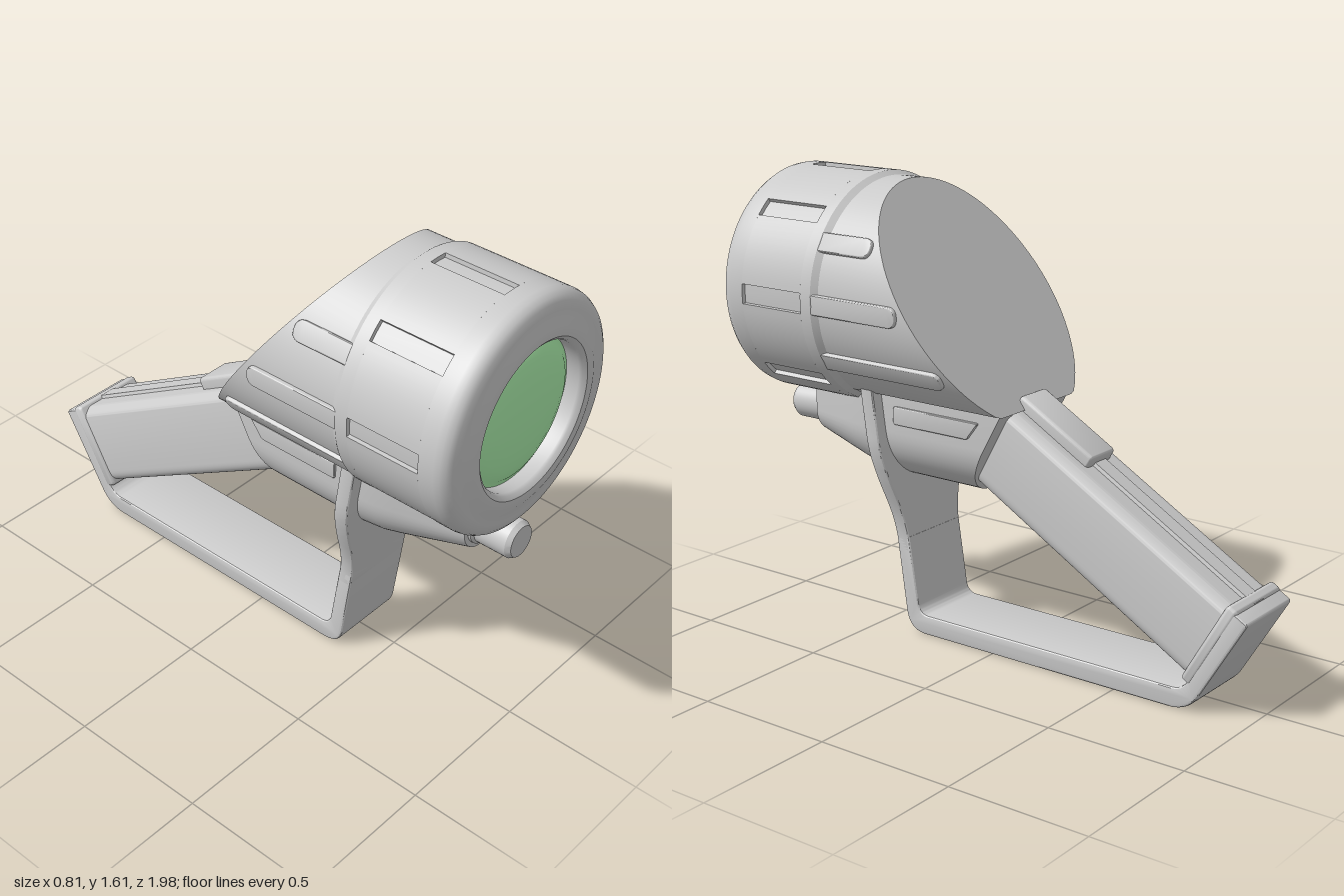
import * as THREE from 'three';
import { toCreasedNormals } from 'three/addons/utils/BufferGeometryUtils.js';
import { RoundedBoxGeometry } from 'three/addons/geometries/RoundedBoxGeometry.js';

const AXIS_Y = 1.2; // height of the lamp axis
const grey = new THREE.MeshStandardMaterial({ color: 0xcccccc });
const green = new THREE.MeshStandardMaterial({ color: 0xb0f5b0 });
const V = (x, y) => new THREE.Vector2(x, y);

function part(name, geometry, material = grey, crease = 0.5) {
  const mesh = new THREE.Mesh(toCreasedNormals(geometry, crease), material);
  mesh.name = name;
  return mesh;
}

// Surface of revolution about z, profile given as [radius, z] from back to front
const turned = (profile, segments = 96) =>
  new THREE.LatheGeometry(profile.map(([r, z]) => V(r, z)), segments).rotateX(Math.PI / 2);

// Polygon with rounded corners, points given as [x, y, radius]
function roundedShape(points) {
  const shape = new THREE.Shape();
  points.forEach(([x, y, r = 0], i) => {
    const p = V(x, y);
    const prev = points.at(i - 1), next = points[(i + 1) % points.length];
    const a = V(prev[0], prev[1]).sub(p).setLength(r).add(p);
    const b = V(next[0], next[1]).sub(p).setLength(r).add(p);
    if (i === 0) shape.moveTo(a.x, a.y);
    else shape.lineTo(a.x, a.y);
    if (r > 0) shape.quadraticCurveTo(x, y, b.x, b.y);
  });
  shape.closePath();
  return shape;
}

function extrude(shape, depth, bevel = 0) {
  return new THREE.ExtrudeGeometry(shape, {
    depth: depth - 2 * bevel, bevelEnabled: bevel > 0, bevelSize: bevel,
    bevelThickness: bevel, bevelOffset: -bevel, bevelSegments: 3, curveSegments: 10,
  }).translate(0, 0, bevel);
}

// Side outline in [z, y, radius], extruded symmetrically across x
const sideExtrude = (points, width, bevel) =>
  extrude(roundedShape(points.map(([z, y, r]) => [-z, y, r])), width, bevel)
    .translate(0, 0, -width / 2).rotateY(Math.PI / 2);

// Skin over U-shaped sections, front to back: [z, halfWidth, top, bottom, slant]
function loftBody(sections) {
  const steps = 24, n = steps + 3, pos = [], index = [];
  for (const [z, w, top, bottom, slant] of sections) {
    const add = (x, y) => pos.push(x, y, z - slant * (y - bottom));
    add(w, top);
    for (let k = 0; k <= steps; k++) {
      const a = (k / steps) * Math.PI;
      add(w * Math.cos(a), bottom + w * (1 - Math.sin(a)));
    }
    add(-w, top);
  }
  for (let i = 0; i < sections.length - 1; i++) {
    for (let j = 0; j < n; j++) {
      const a = i * n + j, b = i * n + ((j + 1) % n);
      index.push(a, b, a + n, b, b + n, a + n);
    }
  }
  const last = (sections.length - 1) * n;
  for (let j = 1; j < n - 1; j++) index.push(0, j + 1, j, last, last + j, last + j + 1);
  const geo = new THREE.BufferGeometry();
  geo.setAttribute('position', new THREE.Float32BufferAttribute(pos, 3));
  geo.setIndex(index);
  return geo;
}

function createLampHead() {
  const head = new THREE.Group();
  head.name = 'lampHead';
  head.position.y = AXIS_Y;

  // Bezel with rolled edge and recessed mouth
  head.add(part('bezel', turned([
    [0.36, 0.87], [0.405, 0.87], [0.405, 0.925], [0.401, 0.945], [0.391, 0.962], [0.375, 0.973],
    [0.35, 0.978], [0.325, 0.979], [0.3, 0.99], [0.268, 0.99], [0.255, 0.98], [0.25, 0.97], [0.25, 0.91],
  ])));
  head.add(part('lens', turned([
    [0.25, 0.925], [0.238, 0.928], [0.225, 0.938], [0.19, 0.95], [0.14, 0.959], [0.08, 0.964], [0, 0.966],
  ]), green, 1));

  // Barrel band with eight shallow rectangular recesses
  const outline = [], half = 0.035 / 0.405;
  for (let k = 0; k < 8; k++) {
    const c = (k * Math.PI) / 4;
    for (const s of [-1, 0, 1]) outline.push(V(0.39 * Math.cos(c + s * half), 0.39 * Math.sin(c + s * half)));
    for (let i = 0; i <= 10; i++) {
      const a = c + half + (i / 10) * (Math.PI / 4 - 2 * half);
      outline.push(V(0.405 * Math.cos(a), 0.405 * Math.sin(a)));
    }
  }
  head.add(part('barrelBand', extrude(new THREE.Shape(outline), 0.27).translate(0, 0, 0.6)));
  head.add(part('barrelCollar', turned([[0.3, 0.53], [0.388, 0.53], [0.405, 0.555], [0.405, 0.6], [0.36, 0.6]])));

  // Rear housing, cut by a slanting plane and flattened underneath
  const housing = new THREE.CylinderGeometry(0.39, 0.39, 1, 96, 1).rotateX(Math.PI / 2);
  const p = housing.attributes.position;
  for (let i = 0; i < p.count; i++) {
    const y = Math.max(p.getY(i), -0.33);
    p.setY(i, y);
    p.setZ(i, p.getZ(i) > 0 ? 0.56 : 0.44 - (0.39 - y) * 0.736);
  }
  head.add(part('rearHousing', housing));

  // Round-ended ribs on both sides: [angle, rear end z]
  for (const [angle, end] of [[0.54, 0.335], [0, 0.19], [-0.54, 0.045]]) {
    for (const a of [angle, Math.PI - angle]) {
      const shape = roundedShape([[-0.56, -0.035], [-end, -0.035, 0.034], [-end, 0.035, 0.034], [-0.56, 0.035]]);
      const rib = part('housingRib', extrude(shape, 0.043, 0.006).rotateY(Math.PI / 2).translate(0.36, 0, 0));
      rib.rotation.z = a;
      head.add(rib);
    }
  }
  return head;
}

function createGrip() {
  const grip = new THREE.Group();
  grip.name = 'grip';
  grip.rotation.x = -Math.PI / 6;

  // Handle section with rounded underside, chamfered top and a central ridge
  const section = roundedShape([
    [-0.135, 0.485, 0.05], [0.135, 0.485, 0.05], [0.135, 0.765, 0.015], [0.1, 0.79, 0.01], [0.034, 0.79],
    [0.03, 0.802], [-0.03, 0.802], [-0.034, 0.79], [-0.1, 0.79, 0.01], [-0.135, 0.765, 0.015],
  ]);
  grip.add(part('handle', extrude(section, 1.01).translate(0, 0, -0.64)));

  const collar = part('handleEndFlange', new RoundedBoxGeometry(0.288, 0.33, 0.045, 3, 0.015));
  collar.position.set(0, 0.64, -0.622);
  grip.add(collar);

  const pad = part('thumbSwitch', new RoundedBoxGeometry(0.14, 0.07, 0.335, 3, 0.014));
  pad.position.set(0, 0.797, 0.23);
  grip.add(pad);
  return grip;
}

function createGuard() {
  const guard = new THREE.Group();
  guard.name = 'guard';
  // Flat strap under the hand, rising to the end of the handle
  guard.add(part('strap', sideExtrude([
    [0.42, 0.35], [0.37, 0, 0.075], [-0.79, 0, 0.075], [-0.998, 0.345, 0.012], [-0.945, 0.376, 0.012],
    [-0.765, 0.072, 0.04], [0.32, 0.072, 0.04], [0.362, 0.35],
  ], 0.285, 0.01)));

  // Leaning yoke plate that widens to hold the lower body
  const shape = new THREE.Shape();
  shape.moveTo(-0.1425, 0.3);
  shape.lineTo(0.1425, 0.3);
  shape.lineTo(0.1425, 0.34);
  shape.bezierCurveTo(0.147, 0.44, 0.19, 0.51, 0.212, 0.59);
  shape.quadraticCurveTo(0.235, 0.66, 0.235, 0.72);
  shape.lineTo(0.235, 0.888);
  shape.lineTo(-0.235, 0.888);
  shape.lineTo(-0.235, 0.72);
  shape.quadraticCurveTo(-0.235, 0.66, -0.212, 0.59);
  shape.bezierCurveTo(-0.19, 0.51, -0.147, 0.44, -0.1425, 0.34);
  const geo = extrude(shape, 0.057, 0.01);
  const p = geo.attributes.position;
  for (let i = 0; i < p.count; i++) p.setZ(i, p.getZ(i) + 0.363 + 0.14 * (p.getY(i) - 0.35));
  guard.add(part('yoke', geo));
  return guard;
}

export function createModel() {
  const model = new THREE.Group();
  model.name = 'handLamp';
  model.add(createLampHead(), createGrip(), createGuard());

  // Lower body tapering forward, its rear face square to the handle
  model.add(part('lowerBody', loftBody([
    [0.83, 0.092, 0.81, 0.635, 0], [0.6, 0.162, 0.85, 0.573, 0],
    [0.53, 0.18, 0.87, 0.556, 0], [0.46, 0.19, 0.88, 0.55, 0], [0.1, 0.19, 0.88, 0.55, 0.55],
  ])));
  model.add(part('sidePanels', sideExtrude([
    [0.38, 0.77, 0.012], [0.06, 0.77, 0.012], [0.01, 0.835, 0.012], [0.38, 0.835, 0.012],
  ], 0.396, 0.006)));

  // Small front plug
  const plug = part('frontPlug', turned([
    [0.075, 0.82], [0.075, 0.84], [0.066, 0.848], [0.066, 0.965], [0.055, 0.982], [0, 0.982],
  ], 40));
  plug.position.y = 0.727;
  model.add(plug);
  return model;
}
